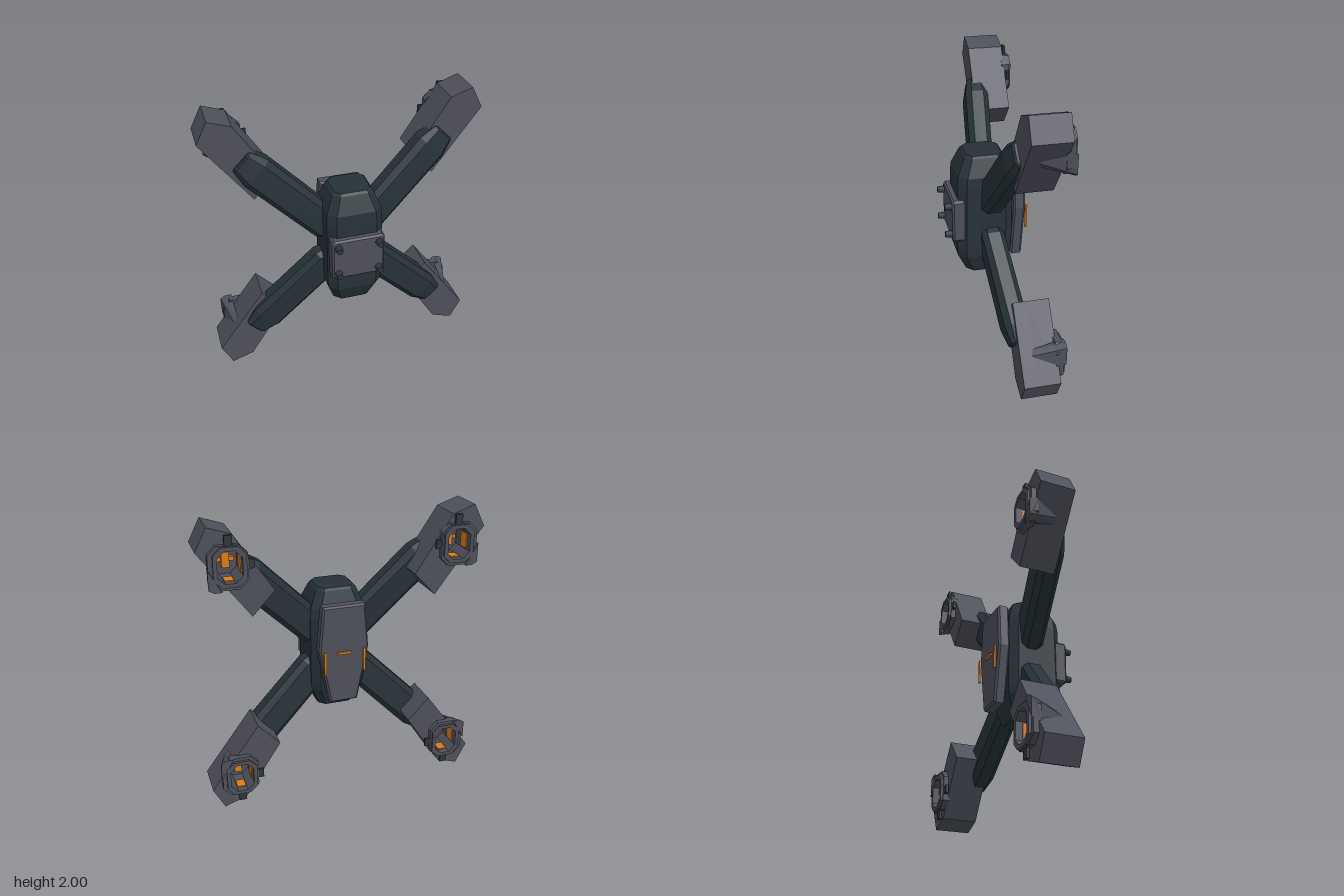
import * as THREE from 'three';
import { ConvexGeometry } from 'three/addons/geometries/ConvexGeometry.js';

const mat = (name, color) => {
  const m = new THREE.MeshStandardMaterial({ color });
  m.name = name;
  return m;
};

// Corners of a chamfered rectangle, counterclockwise
function octagon(hx, hy, c, cx = 0, cy = 0) {
  return [[hx, -hy + c], [hx, hy - c], [hx - c, hy], [-hx + c, hy],
    [-hx, hy - c], [-hx, -hy + c], [-hx + c, -hy], [hx - c, -hy]]
    .map(([x, y]) => new THREE.Vector2(x + cx, y + cy));
}

// Convex hull around point triples
const hull = (pts) => new ConvexGeometry(pts.map((p) => new THREE.Vector3(...p)));

// Prism between two z levels, with an optional hole
function prism(outline, z0, z1, hole) {
  const shape = new THREE.Shape(outline);
  if (hole) shape.holes.push(new THREE.Path(hole));
  return new THREE.ExtrudeGeometry(shape, { depth: z1 - z0, bevelEnabled: false }).translate(0, 0, z0);
}

// Box from its centre and size
const box = (x, y, z, w, h, d) => new THREE.BoxGeometry(w, h, d).translate(x, y, z);

// Mirror across x = 0 and / or y = 1, keeping faces outward
function mirrored(geometry, sx, sy) {
  const g = geometry.index ? geometry.toNonIndexed() : geometry.clone();
  g.translate(0, -1, 0);
  const p = g.attributes.position;
  for (let i = 0; i < p.count; i++) p.setXYZ(i, p.getX(i) * sx, p.getY(i) * sy, p.getZ(i));
  if (sx * sy < 0) {
    for (let i = 0; i < p.count; i += 3) {
      const b = new THREE.Vector3().fromBufferAttribute(p, i + 1);
      const c = new THREE.Vector3().fromBufferAttribute(p, i + 2);
      p.setXYZ(i + 1, c.x, c.y, c.z);
      p.setXYZ(i + 2, b.x, b.y, b.z);
    }
  }
  g.translate(0, 1, 0);
  g.computeVertexNormals();
  return g;
}

export function createModel() {
  const model = new THREE.Group();
  model.name = 'quadDrone';
  const dark = mat('darkHull', 0x263238);
  const grey = mat('greyArmour', 0x4d4f5a);
  const bolt = mat('boltMetal', 0x30343a);
  const orange = mat('orangeGlow', 0xd87c18);
  const add = (parent, name, geometry, material) => {
    const m = new THREE.Mesh(geometry, material);
    m.name = name;
    parent.add(m);
    return m;
  };

  // Hull: chamfered sections stacked in y  [y, half width, back z, front z, chamfer]
  const bodyPts = [];
  for (const [y, hx, z0, z1, c] of [
    [0.57, 0.125, -0.075, 0.165, 0.04], [0.585, 0.14, -0.09, 0.18, 0.045],
    [0.72, 0.19, -0.133, 0.243, 0.055], [0.78, 0.195, -0.14, 0.248, 0.055],
    [1.25, 0.195, -0.14, 0.24, 0.055], [1.32, 0.19, -0.133, 0.233, 0.055],
    [1.44, 0.14, -0.09, 0.18, 0.045], [1.455, 0.125, -0.075, 0.165, 0.04],
  ]) {
    for (const p of octagon(hx, (z1 - z0) / 2, c, 0, (z0 + z1) / 2)) bodyPts.push([p.x, y, p.y]);
  }
  add(model, 'body', hull(bodyPts), dark);

  // Front plate with four bolts
  const platePts = [];
  for (const [z, inset] of [[0.2, 0], [0.272, 0], [0.285, 0.012]]) {
    for (const p of octagon(0.185 - inset, 0.155 - inset, 0.015, 0, 1.005)) platePts.push([p.x, p.y, z]);
  }
  add(model, 'frontPlate', hull(platePts), grey);
  for (const x of [-0.143, 0.143]) {
    for (const y of [0.9, 1.11]) {
      const g = new THREE.CylinderGeometry(0.021, 0.026, 0.05, 10).rotateX(Math.PI / 2).translate(x, y, 0.307);
      add(model, 'bolt', g, bolt);
    }
  }

  // Tapered back plate
  const backPts = [];
  for (const [z, inset] of [[-0.145, 0.012], [-0.157, 0], [-0.213, 0], [-0.227, 0.012]]) {
    for (const [x, y] of [[0.15, 1.375 - inset], [0.177, 1.06], [0.1, 0.66 + inset]]) {
      backPts.push([x - inset, y, z], [inset - x, y, z]);
    }
  }
  add(model, 'backPlate', hull(backPts), grey);
  for (const x of [-0.14, 0.14]) add(model, 'sideLight', box(x, 0.975, -0.243, 0.016, 0.17, 0.014), orange);
  add(model, 'centreLight', box(0, 1.035, -0.233, 0.1, 0.016, 0.014), orange);

  // Arm: sections along the diagonal  [distance, half width, back z, front z, chamfer]
  const armPts = [];
  const k = Math.SQRT1_2;
  for (const [r, hv, z0, z1, c] of [
    [0.16, 0.09, -0.05, 0.07, 0.03], [0.22, 0.115, -0.07, 0.088, 0.035],
    [0.86, 0.118, -0.13, 0.037, 0.04], [0.98, 0.085, -0.11, 0.005, 0.025], [0.99, 0.075, -0.1, -0.008, 0.02],
  ]) {
    for (const p of octagon(hv, (z1 - z0) / 2, c, 0, (z0 + z1) / 2)) {
      armPts.push([(r - p.x) * k, 1 + (r + p.x) * k, p.y]);
    }
  }

  // Thruster pod with an open nozzle facing back
  const outline = [[0.63, 1.4], [0.965, 1.85], [0.888, 2], [0.735, 1.948], [0.48, 1.56]]
    .map(([x, y]) => new THREE.Vector2(x, y));
  const cx = 0.765, cy = 1.755;
  const hole = octagon(0.079, 0.103, 0.045, cx, cy);
  const parts = [
    ['arm', hull(armPts), dark],
    ['podFront', prism(outline, -0.12, -0.025), grey],
    ['podRear', prism(outline, -0.275, -0.12, hole), grey],
    ['nozzleCollar', prism(octagon(0.125, 0.142, 0.055, cx + 0.008, cy - 0.008), -0.31, -0.26, hole), grey],
    ['nozzleRim', prism(octagon(0.105, 0.128, 0.05, cx, cy), -0.327, -0.31, hole), grey],
    // Wedge running from the rim onto the outer side of the pod
    ['nozzleFin', hull([[0.905, 1.62, -0.325], [0.905, 1.75, -0.325], [0.82, 1.6, -0.325], [0.87, 1.6, -0.325],
      [0.9, 1.75, -0.265], [0.85, 1.69, -0.2], [0.845, 1.69, -0.1], [0.815, 1.66, -0.1]]), grey],
    ['topTab', box(cx, 1.91, -0.295, 0.05, 0.08, 0.018), bolt],
    ['innerTab', box(0.635, 1.76, -0.295, 0.05, 0.06, 0.018), bolt],
    ['core', box(cx, cy, -0.145, 0.05, 0.1, 0.05), orange],
    ['coreBar', box(cx, cy, -0.135, 0.12, 0.025, 0.03), orange],
  ];
  // Glowing strips on the nozzle walls
  for (const s of [-1, 1]) {
    parts.push(['wallLight', box(cx + s * 0.076, cy, -0.24, 0.008, 0.1, 0.08), orange]);
    parts.push(['wallLight', box(cx, cy + s * 0.1, -0.24, 0.06, 0.008, 0.08), orange]);
  }

  for (const sx of [1, -1]) {
    for (const sy of [1, -1]) {
      const unit = new THREE.Group();
      unit.name = (sy > 0 ? 'upper' : 'lower') + (sx > 0 ? 'Left' : 'Right') + 'Thruster';
      for (const [name, g, m] of parts) add(unit, name, mirrored(g, sx, sy), m);
      model.add(unit);
    }
  }
  return model;
}
